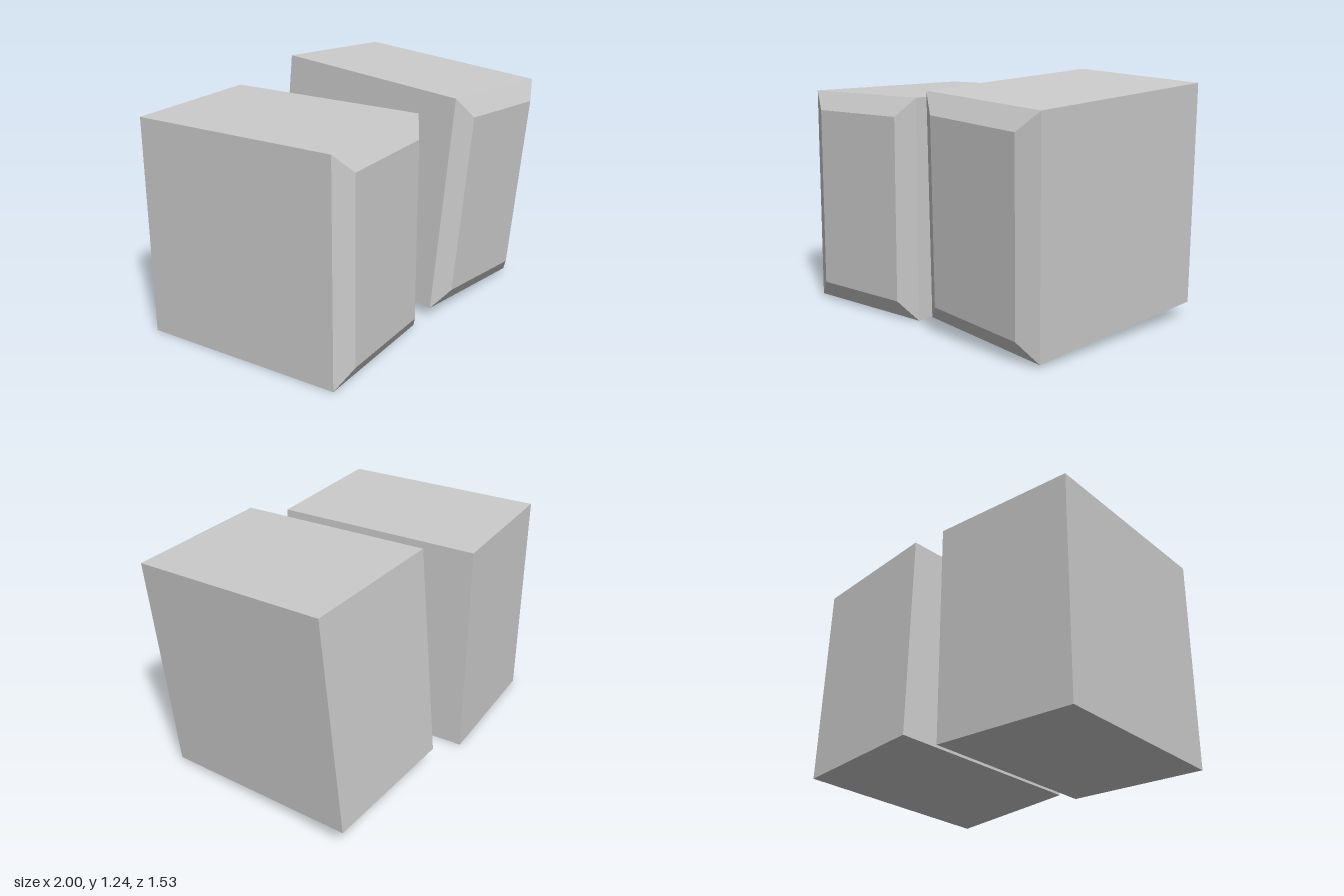
import * as THREE from 'three';

const W = 0.742, H = 1.12, D = 1.07;   // block body
const BEVEL = 0.058, INSET = 0.095;    // raised, chamfered front

// Box whose front end tapers inward to a smaller flat face
function blockGeometry() {
  const box = new THREE.BoxGeometry(W, H, D, 1, 1, 2);
  const p = box.attributes.position;
  for (let i = 0; i < p.count; i++) {
    const z = p.getZ(i);
    if (z > 0.01) {
      p.setXYZ(
        i,
        p.getX(i) - Math.sign(p.getX(i)) * INSET,
        p.getY(i) - Math.sign(p.getY(i)) * INSET,
        D / 2 + BEVEL
      );
    } else if (z > -0.01) {
      p.setZ(i, D / 2);
    }
  }
  const flat = box.toNonIndexed();
  flat.computeVertexNormals();
  return flat;
}

export function createModel() {
  const group = new THREE.Group();
  const material = new THREE.MeshStandardMaterial({ color: 0xcccccc, flatShading: true });
  const geometry = blockGeometry();

  const addBlock = (name, position, rotation) => {
    const mesh = new THREE.Mesh(geometry, material);
    mesh.name = name;
    mesh.position.set(...position);
    mesh.rotation.set(...rotation, 'YXZ');
    group.add(mesh);
  };

  // Upright block, and a second one leaning slightly
  addBlock('uprightBlock', [-0.46, 0.563, 0.105], [-0.004, 0.372, 0]);
  addBlock('leaningBlock', [0.47, 0.627, -0.132], [0.06, 0.248, -0.054]);
  return group;
}
